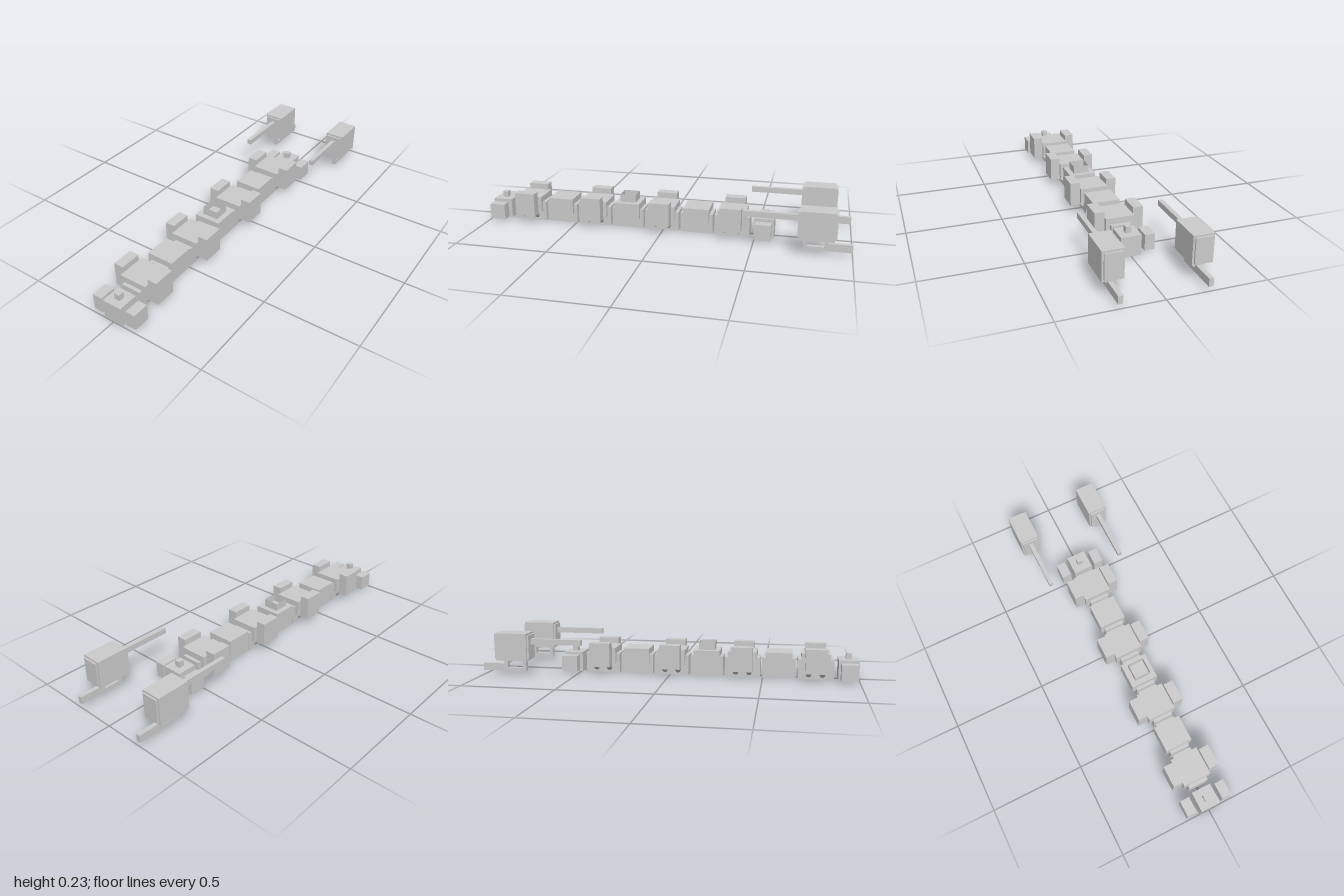
import * as THREE from 'three';

const grey = new THREE.MeshStandardMaterial({ color: 0xcccccc, flatShading: true });
const thin = new THREE.MeshStandardMaterial({ color: 0xcccccc, flatShading: true, side: THREE.DoubleSide });

// Box given by its extents on each axis
function block(parent, name, [x0, x1], [y0, y1], [z0, z1]) {
  const mesh = new THREE.Mesh(new THREE.BoxGeometry(x1 - x0, y1 - y0, z1 - z0), grey);
  mesh.position.set((x0 + x1) / 2, (y0 + y1) / 2, (z0 + z1) / 2);
  mesh.name = name;
  parent.add(mesh);
  return mesh;
}

function section(parent, name, z) {
  const group = new THREE.Group();
  group.name = name;
  group.position.z = z;
  parent.add(group);
  return group;
}

// End block with a stud on top and a free-standing block on each side
function endSection(parent, name, z) {
  const g = section(parent, name, z);
  block(g, 'endBlock', [-0.053, 0.053], [0, 0.107], [-0.053, 0.053]);
  block(g, 'stud', [-0.015, 0.015], [0.107, 0.14], [-0.015, 0.015]);
  for (const s of [-1, 1]) {
    const side = block(g, 'sideBlock', [-0.026, 0.026], [0.012, 0.097], [-0.043, 0.043]);
    side.position.x = s * 0.1;
  }
}

// Wide section: raised pods held by slanted struts
function podSection(parent, z) {
  const g = section(parent, 'podSection', z);
  block(g, 'base', [-0.053, 0.053], [0, 0.107], [-0.094, 0.094]);
  block(g, 'body', [-0.075, 0.075], [0.055, 0.14], [-0.075, 0.075]);
  for (const s of [-1, 1]) {
    const pod = block(g, 'pod', [-0.0265, 0.0265], [0.043, 0.172], [-0.056, 0.056]);
    pod.position.x = s * 0.102;
    for (const dz of [-0.036, 0.036]) {
      const strut = new THREE.Mesh(new THREE.CylinderGeometry(0.016, 0.016, 0.075, 8), grey);
      strut.name = 'strut';
      strut.scale.x = 0.68;
      strut.position.set(s * 0.069, 0.042, dz);
      strut.rotation.z = -s * Math.PI / 4;
      g.add(strut);
    }
  }
}

// Narrow linking section
function linkSection(parent, z) {
  const g = section(parent, 'linkSection', z);
  block(g, 'base', [-0.053, 0.053], [0, 0.107], [-0.088, 0.088]);
  block(g, 'body', [-0.073, 0.073], [0.055, 0.14], [-0.07, 0.07]);
  return g;
}

// Gun turret on a two-post foot with a trailing rail
function turret(parent, x) {
  const g = new THREE.Group();
  g.name = 'turret';
  g.position.x = x;
  parent.add(g);
  const w = [-0.0115, 0.0115];
  block(g, 'housing', [-0.0525, 0.0525], [0.087, 0.235], [-0.91, -0.737]);
  block(g, 'endPanels', [-0.043, 0.043], [0.097, 0.225], [-0.919, -0.727]);
  block(g, 'barrel', w, [0.173, 0.203], [-0.727, -0.45]);
  block(g, 'frontPost', w, [0.043, 0.09], [-0.778, -0.757]);
  block(g, 'rearPost', w, [0.043, 0.09], [-0.88, -0.861]);
  block(g, 'footBar', w, [0.024, 0.043], [-0.875, -0.757]);
  block(g, 'tailRail', w, [0.024, 0.064], [-1, -0.875]);
}

export function createModel() {
  const model = new THREE.Group();
  model.name = 'segmentedCrawler';

  endSection(model, 'head', 0.946);
  endSection(model, 'tail', -0.546);
  for (let i = 0; i < 7; i++) {
    const z = 0.776 - i * 0.192;
    if (i % 2 === 0) {
      podSection(model, z);
      continue;
    }
    const link = linkSection(model, z);
    if (i === 3) {
      // Open-topped hatch made of four walls
      for (let k = 0; k < 4; k++) {
        const a = k * Math.PI / 2;
        const wall = new THREE.Mesh(new THREE.PlaneGeometry(0.086, 0.042), thin);
        wall.name = 'hatchWall';
        wall.position.set(Math.sin(a) * 0.043, 0.161, Math.cos(a) * 0.043);
        wall.rotation.y = a;
        link.add(wall);
      }
    }
  }
  for (const s of [-1, 1]) turret(model, s * 0.212);
  return model;
}
